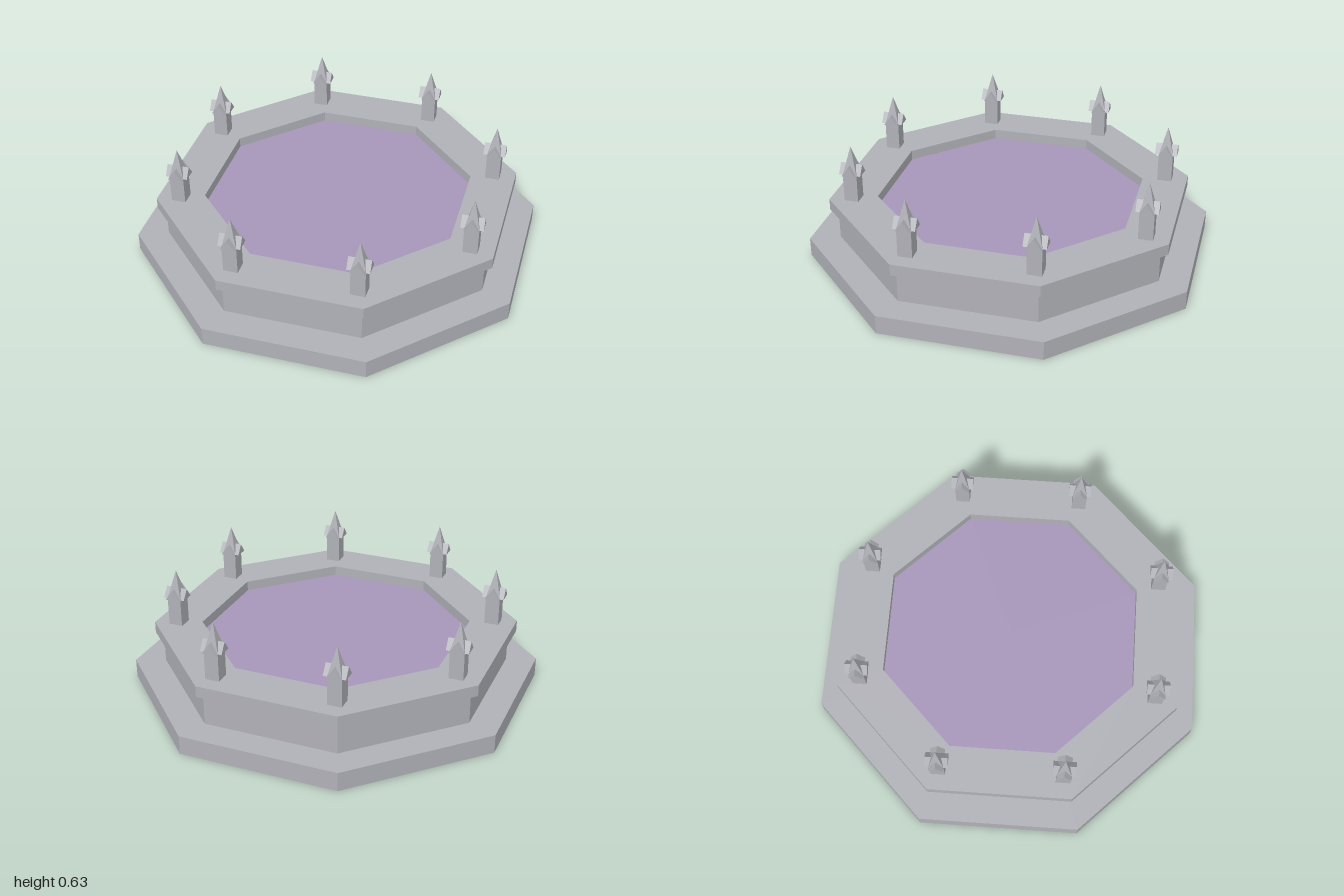
import * as THREE from 'three';

const stone = new THREE.MeshStandardMaterial({ color: 0xb0b1b7, flatShading: true });
stone.name = 'stone';
const water = new THREE.MeshStandardMaterial({ color: 0xa695b9, flatShading: true });
water.name = 'water';

const CORNER = 1 / Math.cos(Math.PI / 8); // corner radius of an octagon with apothem 1

function add(parent, name, geometry, material, y = 0) {
  const mesh = new THREE.Mesh(geometry, material);
  mesh.name = name;
  mesh.position.y = y;
  parent.add(mesh);
  return mesh;
}

// Solid octagonal slab, flat sides facing the axes
function slab(apothem, bottom, top) {
  const r = apothem * CORNER;
  return new THREE.CylinderGeometry(r, r, top - bottom, 8)
    .rotateY(Math.PI / 8)
    .translate(0, (top + bottom) / 2, 0);
}

function octagonPoints(apothem) {
  return Array.from({ length: 8 }, (_, i) => {
    const a = (i + 0.5) * Math.PI / 4;
    return new THREE.Vector2(Math.cos(a), Math.sin(a)).multiplyScalar(apothem * CORNER);
  });
}

// Octagonal ring between two heights
function ring(outer, inner, bottom, top) {
  const shape = new THREE.Shape(octagonPoints(outer));
  shape.holes.push(new THREE.Path(octagonPoints(inner)));
  return new THREE.ExtrudeGeometry(shape, { depth: top - bottom, bevelEnabled: false })
    .rotateX(-Math.PI / 2)
    .translate(0, bottom, 0);
}

// Square shaft, two crossing gables and a pointed spire
function pinnacle() {
  const group = new THREE.Group();
  group.name = 'pinnacle';
  const half = 0.0375, shaftHeight = 0.15, gableLength = 0.116;
  add(group, 'shaft', new THREE.BoxGeometry(half * 2, shaftHeight, half * 2), stone, shaftHeight / 2);

  const triangle = new THREE.Shape([
    new THREE.Vector2(-half, 0), new THREE.Vector2(half, 0), new THREE.Vector2(0, 0.053),
  ]);
  const gable = new THREE.ExtrudeGeometry(triangle, { depth: gableLength, bevelEnabled: false })
    .translate(0, 0, -gableLength / 2);
  for (const turn of [0, Math.PI / 2]) {
    add(group, 'gable', gable, stone, shaftHeight).rotation.y = turn;
  }

  const spire = new THREE.ConeGeometry(half * Math.SQRT2, 0.15, 4).rotateY(Math.PI / 4);
  add(group, 'spire', spire, stone, shaftHeight + 0.075);
  return group;
}

export function createModel() {
  const model = new THREE.Group();
  model.name = 'octagonalPool';

  add(model, 'baseStep', slab(1, 0, 0.1), stone);
  add(model, 'basinWall', slab(0.85, 0.1, 0.27), stone);
  add(model, 'rim', ring(0.89, 0.657, 0.27, 0.33), stone);
  add(model, 'waterSurface', slab(0.657, 0.27, 0.276), water);

  // One pinnacle near each corner of the rim
  for (let i = 0; i < 8; i++) {
    const a = (i + 0.5) * Math.PI / 4;
    const p = pinnacle();
    p.position.set(Math.cos(a) * 0.835, 0.33, Math.sin(a) * 0.835);
    model.add(p);
  }
  return model;
}
